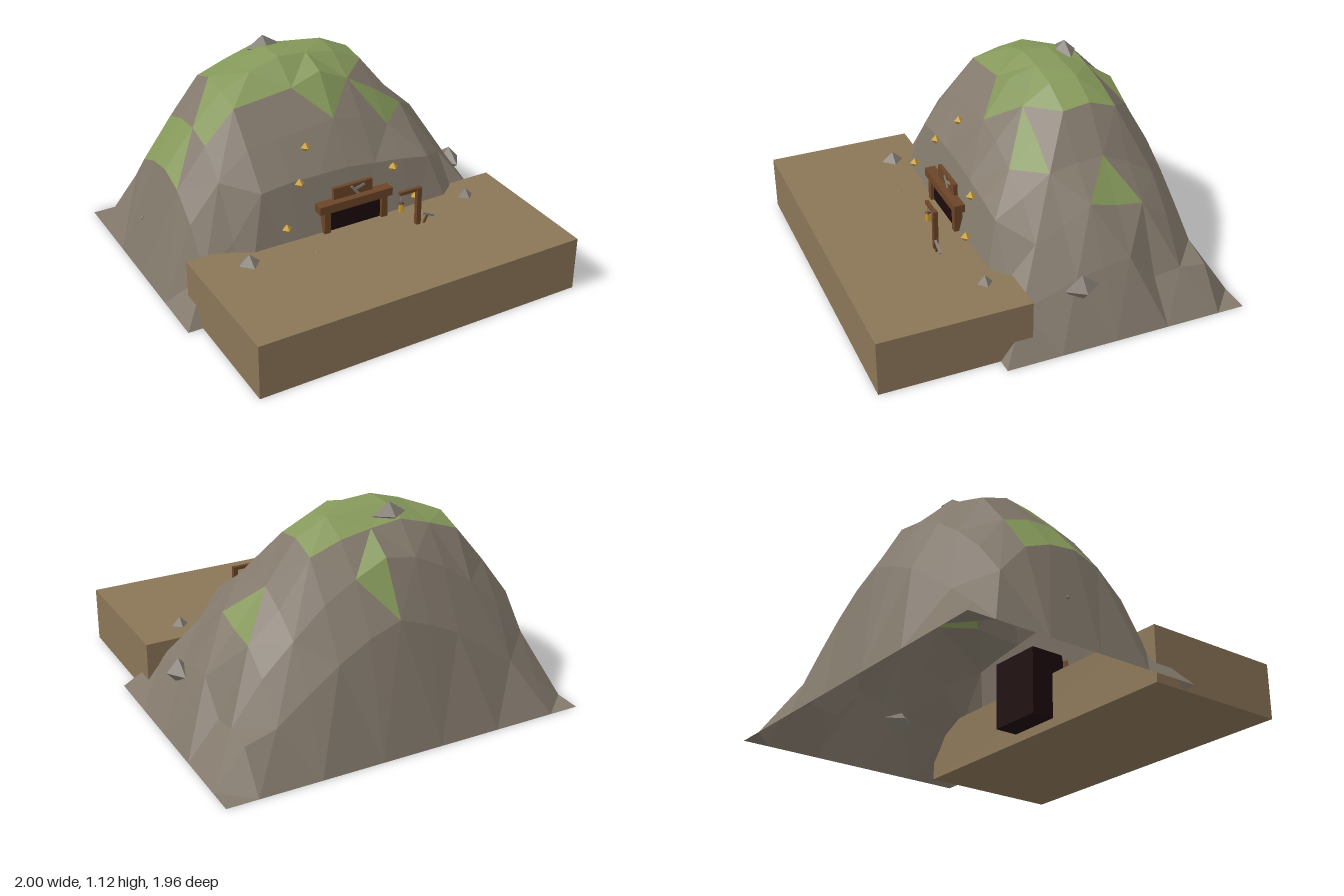
import * as THREE from 'three';

const mat = (name, color, side = THREE.FrontSide) =>
  Object.assign(new THREE.MeshStandardMaterial({ color, side, flatShading: true }), { name });

export function createModel() {
  const model = new THREE.Group();
  const rock = mat('rock', 0x83796c, THREE.DoubleSide);
  const grass = mat('grass', 0x85985a, THREE.DoubleSide);
  const earth = mat('earth', 0x8b7658);
  const stone = mat('boulder stone', 0x827b72);
  const wood = mat('wood', 0x6b4528);
  const darkWood = mat('dark wood', 0x573620);
  const dark = mat('tunnel dark', 0x1e0a0c);
  const gold = mat('gold', 0xc79a2a);
  const steel = mat('steel', 0x85827c);

  const add = (name, geo, material, x, y, z, parent = model) => {
    const mesh = new THREE.Mesh(geo, material);
    mesh.name = name;
    mesh.position.set(x, y, z);
    parent.add(mesh);
    return mesh;
  };
  const box = (name, m, x0, x1, y0, y1, z0, z1, parent) =>
    add(name, new THREE.BoxGeometry(x1 - x0, y1 - y0, z1 - z0), m,
      (x0 + x1) / 2, (y0 + y1) / 2, (z0 + z1) / 2, parent);

  // Mountain: grid of heights, back row first; the rim lies on the ground
  const heights = [
    [.15, .28, .40, .52, .60, .66, .60, .50, .38, .25, .20],
    [.35, .55, .70, .82, .90, .93, .85, .75, .60, .44, .22],
    [.52, .74, .94, 1.0, 1.05, 1.03, 1.0, .94, .70, .55, .20],
    [.58, .79, .99, 1.03, 1.09, 1.08, 1.07, .99, .77, .57, .36],
    [.60, .80, .97, 1.04, 1.09, 1.08, 1.05, .97, .76, .61, .34],
    [.55, .76, .93, .95, .97, 1.03, .95, .85, .73, .52, .30],
    [.42, .62, .76, .78, .80, .82, .78, .70, .62, .45, .25],
    [.20, .35, .58, .60, .60, .60, .58, .56, .53, .28, .20],
  ];
  // Grass per cell: F = whole cell, 1 or 2 = one of its triangles
  const grassMap = [
    '............', '......1.....', '......1.....', '.F.FFFFF.2..', '.F2FFFFF.2..',
    '.1FFFFF1....', '.....2121...', '............', '............',
  ];
  const point = (i, j) => [-1 + i / 6, heights[j - 1]?.[i - 1] ?? 0, -0.98 + j * 1.33 / 9];
  const faces = { rock: [], grass: [] };
  for (let j = 0; j < 9; j++) {
    for (let i = 0; i < 12; i++) {
      const a = point(i, j), b = point(i, j + 1), c = point(i + 1, j + 1), d = point(i + 1, j);
      // diagonals alternate like a chequerboard
      const tris = (i + j) % 2 ? [[a, b, c], [a, c, d]] : [[a, b, d], [b, c, d]];
      tris.forEach((tri, k) => {
        const mark = grassMap[j][i];
        const green = mark === 'F' || mark === String(k + 1);
        faces[green ? 'grass' : 'rock'].push(...tri.flat());
      });
    }
  }
  for (const [key, m] of [['rock', rock], ['grass', grass]]) {
    const geo = new THREE.BufferGeometry();
    geo.setAttribute('position', new THREE.Float32BufferAttribute(faces[key], 3));
    geo.computeVertexNormals();
    add(key === 'rock' ? 'mountainRock' : 'mountainGrass', geo, m, 0, 0, 0);
  }

  // Flat ground in front of the mine
  box('groundBlock', earth, -.92, .92, 0, .3, .18, .98);

  // Boulders and gold nuggets: stretched octahedra
  const gem = (name, m, x, y, z, rx, ry = rx, rz = rx) =>
    add(name, new THREE.OctahedronGeometry(1), m, x, y, z).scale.set(rx, ry, rz);
  [
    [-.14, 1.06, -.47, .095, .062, .066],
    [.86, .27, -.11, .065, .074, .095],
    [-.65, .29, .35, .07, .062, .072],
    [.67, .29, .33, .055, .055, .05],
    [-.93, .27, -.37, .012],
    [-.31, .3, .43, .008],
  ].forEach(b => gem('boulder', stone, ...b));
  [
    [-.2, .73, .115], [-.29, .59, .215], [-.41, .4, .3], [.26, .545, .235], [.36, .375, .305],
  ].forEach(p => gem('goldNugget', gold, ...p, .028));

  // Mine entrance: tunnel, timber frame and sign
  const entrance = new THREE.Group();
  entrance.name = 'mineEntrance';
  model.add(entrance);
  box('tunnel', dark, -.155, .155, .05, .42, .05, .282, entrance);
  for (const s of [-1, 1]) {
    box('framePost', wood, s * .172 - .018, s * .172 + .018, .3, .43, .255, .3, entrance);
  }
  box('innerLintel', darkWood, -.155, .155, .412, .43, .25, .295, entrance);
  box('topBeam', wood, -.22, .215, .425, .47, .25, .308, entrance);
  box('signBoard', wood, -.118, .112, .468, .535, .248, .27, entrance);
  // Crossed tool emblem on the sign
  for (const [x, y, turn] of [[.005, .497, -.9], [.03, .508, .3]]) {
    const bar = box('signToolBar', steel, x - .035, x + .035, y - .007, y + .007, .27, .275, entrance);
    bar.rotation.z = turn;
  }

  // Lantern post
  const post = new THREE.Group();
  post.name = 'lanternPost';
  model.add(post);
  box('post', wood, .274, .3, .3, .52, .43, .455, post);
  box('arm', wood, .17, .3, .502, .52, .433, .452, post);
  box('hanger', steel, .18, .186, .45, .502, .439, .445, post);
  add('lantern', new THREE.CylinderGeometry(.012, .014, .045, 6), gold, .183, .427, .442, post);
  add('lanternCap', new THREE.ConeGeometry(.017, .012, 6), darkWood, .183, .455, .442, post);

  // Pickaxe leaning beside the post
  const pick = new THREE.Group();
  pick.name = 'pickaxe';
  pick.position.set(.335, .33, .452);
  pick.rotation.z = -.45;
  model.add(pick);
  box('pickHandle', wood, -.005, .005, -.035, .02, -.005, .005, pick);
  box('pickHead', steel, -.035, .045, .012, .022, -.006, .006, pick);

  return model;
}
